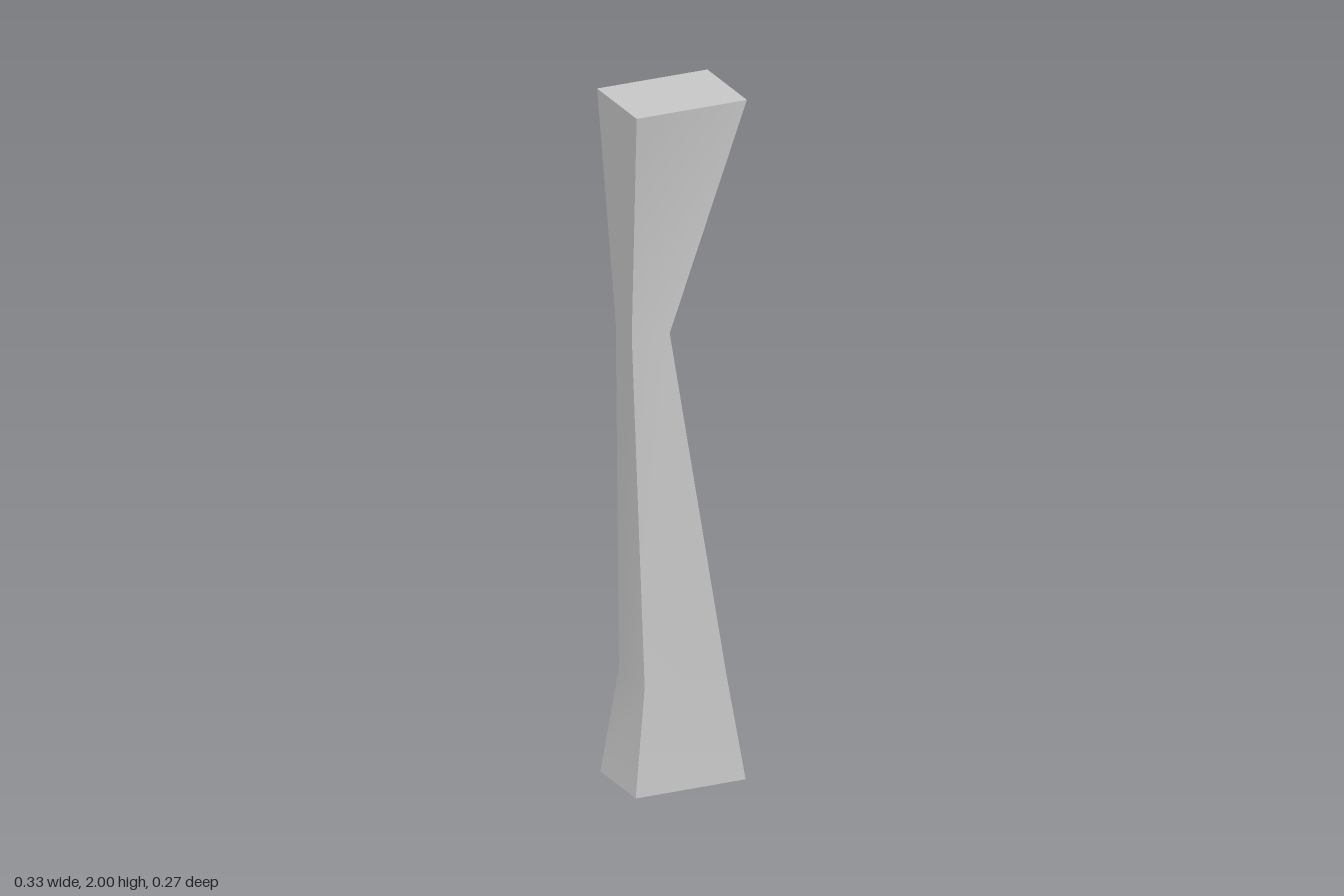
import * as THREE from 'three';
import { toCreasedNormals } from 'three/addons/utils/BufferGeometryUtils.js';

// Cross-sections from bottom to top: height, x of right and left side,
// front z at right/left, back z at right/middle/left
const sections = [
  { y: 0, x: [-0.167, 0.167], front: [0.127, 0.125], back: [-0.099, -0.1, -0.136] },
  { y: 0.31, x: [-0.127, 0.12], front: [0.1, 0.1], back: [-0.065, -0.072, -0.08] },
  { y: 1.335, x: [-0.152, -0.047], front: [0.07, 0.091], back: [-0.032, -0.05, -0.068] },
  { y: 2, x: [-0.167, 0.167], front: [0.133, 0.133], back: [-0.12, -0.12, -0.12] },
];

// Corners of one section, counter-clockwise seen from above
function ring({ y, x: [r, l], front, back }) {
  return [
    [r, y, front[0]], [l, y, front[1]],
    [l, y, back[2]], [(r + l) / 2, y, back[1]], [r, y, back[0]],
  ];
}

// Skins the sections and closes both ends
function loft(rings) {
  const positions = [];
  const tri = (a, b, c) => positions.push(...a, ...b, ...c);
  const n = rings[0].length;
  for (let k = 0; k < rings.length - 1; k++) {
    for (let i = 0; i < n; i++) {
      const j = (i + 1) % n;
      const [a, b, c, d] = [rings[k][i], rings[k][j], rings[k + 1][j], rings[k + 1][i]];
      tri(a, b, c);
      tri(a, c, d);
    }
  }
  // End caps fan out from the middle of the back edge
  const bottom = rings[0];
  const top = rings[rings.length - 1];
  for (const [i, j] of [[4, 0], [0, 1], [1, 2]]) {
    tri(top[3], top[i], top[j]);
    tri(bottom[3], bottom[j], bottom[i]);
  }
  const geometry = new THREE.BufferGeometry();
  geometry.setAttribute('position', new THREE.Float32BufferAttribute(positions, 3));
  return toCreasedNormals(geometry, THREE.MathUtils.degToRad(35));
}

export function createModel() {
  const group = new THREE.Group();
  group.name = 'notchedPillar';
  const material = new THREE.MeshStandardMaterial({ color: 0xcccccc });

  // Tapered shaft, pinched below the head and flared at the foot
  const shaft = new THREE.Mesh(loft(sections.map(ring)), material);
  shaft.name = 'shaft';
  group.add(shaft);
  return group;
}
